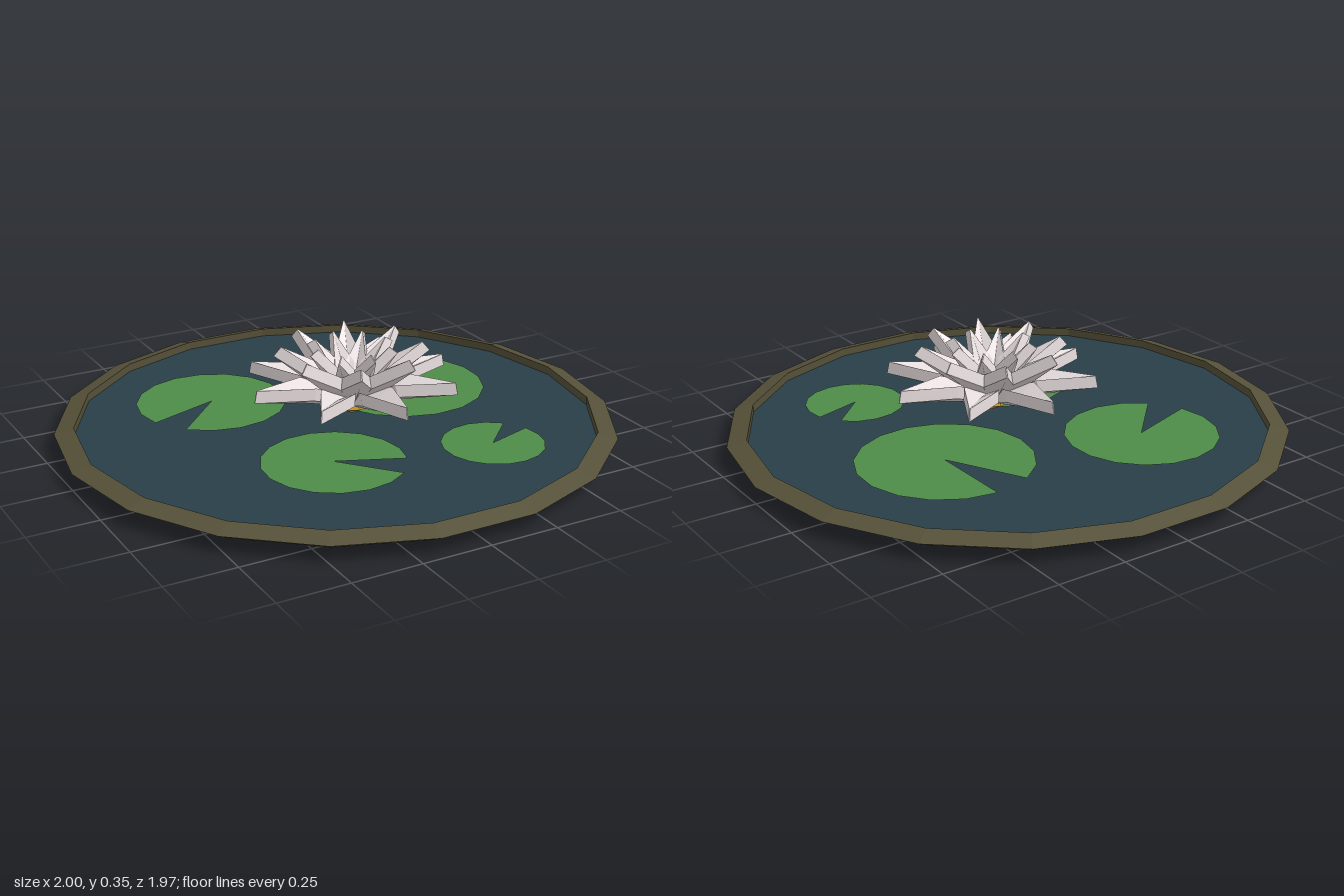
import * as THREE from 'three';

const material = (name, color, side = THREE.FrontSide) => {
  const m = new THREE.MeshStandardMaterial({ color, side });
  m.name = name;
  return m;
};

// Give a geometry hard facets
function faceted(geometry) {
  const g = geometry.index ? geometry.toNonIndexed() : geometry;
  g.computeVertexNormals();
  return g;
}

const lathe = (points, sides) =>
  faceted(new THREE.LatheGeometry(points.map(([r, y]) => new THREE.Vector2(r, y)), sides).rotateY(Math.PI / 2));

// Thick petal along +x with a V-shaped section; rows are [radius, y, halfWidth, cup]
function petalGeometry(rows, thickness) {
  const positions = [], index = [];
  const quad = (a, b, c, d) => index.push(a, b, c, a, c, d);
  rows.forEach(([r, y, w, cup], i) => {
    const p = rows[Math.max(i - 1, 0)], q = rows[Math.min(i + 1, rows.length - 1)];
    const tilt = Math.atan2(q[1] - p[1], q[0] - p[0]);
    const nx = -Math.sin(tilt), ny = Math.cos(tilt);
    for (const [side, h] of [[-1, 1], [0, 1], [1, 1], [1, 0], [0, 0], [-1, 0]]) {
      const lift = h * thickness + Math.abs(side) * cup;
      positions.push(r + nx * lift, y + ny * lift, side * w);
    }
    if (i === 0) return;
    const a = (i - 1) * 6, b = i * 6;
    for (let j = 0; j < 6; j++) {
      const k = (j + 1) % 6;
      quad(a + j, a + k, b + k, b + j);
    }
  });
  // End caps
  const e = (rows.length - 1) * 6;
  quad(e, e + 1, e + 4, e + 5);
  quad(e + 1, e + 2, e + 3, e + 4);
  quad(5, 4, 1, 0);
  quad(4, 3, 2, 1);
  const g = new THREE.BufferGeometry();
  g.setAttribute('position', new THREE.Float32BufferAttribute(positions, 3));
  g.setIndex(index);
  return faceted(g);
}

export function createModel() {
  const model = new THREE.Group();
  model.name = 'lilyPond';
  const bank = material('bank brown', 0x555038);
  const waterBlue = material('water blue', 0x293f49);
  const leaf = material('pad green', 0x4f8c48, THREE.DoubleSide);
  const white = material('petal white', 0xe9dfe0);
  const gold = material('heart gold', 0xd9a42a);

  const add = (parent, name, geometry, mat) => {
    const mesh = new THREE.Mesh(geometry, mat);
    mesh.name = name;
    parent.add(mesh);
    return mesh;
  };

  // Pond basin: sloping bank around the water
  add(model, 'bank', lathe([[0.89, 0], [1, 0.06], [0.93, 0.08], [0.93, 0.045]], 18), bank);
  add(model, 'water', lathe([[0, 0], [0.89, 0], [0.93, 0.05], [0, 0.05]], 18), waterBlue);

  // Notched lily pads: x, z, radius, end of the notch in degrees
  const pads = new THREE.Group();
  pads.name = 'lilyPads';
  model.add(pads);
  const rad = THREE.MathUtils.degToRad;
  for (const [x, z, r, start] of [
    [-0.325, -0.36, 0.275, 226],
    [0.37, -0.165, 0.312, 118],
    [-0.188, 0.325, 0.252, -23],
    [0.37, 0.455, 0.182, 44],
  ]) {
    const disc = new THREE.CircleGeometry(r, 16, rad(start), rad(333)).rotateX(-Math.PI / 2);
    add(pads, 'lilyPad', disc, leaf).position.set(x, 0.058, z);
  }

  // Flower: three tiers of petals around a golden heart
  const flower = new THREE.Group();
  flower.name = 'flower';
  flower.position.set(0.035, 0, 0.052);
  model.add(flower);
  add(flower, 'heart', lathe([[0, 0.09], [0.06, 0.122], [0.055, 0.15], [0, 0.165]], 8), gold);

  const tiers = [
    ['outerPetal', 0, 0.045, [[0.035, 0.125, 0.02, 0.008], [0.19, 0.165, 0.062, 0.03], [0.383, 0.202, 0.002, 0]]],
    ['middlePetal', 22.5, 0.042, [[0.035, 0.13, 0.018, 0.008], [0.145, 0.21, 0.052, 0.026], [0.276, 0.318, 0.002, 0]]],
    ['innerPetal', 0, 0.036, [[0.045, 0.135, 0.015, 0.006], [0.1, 0.235, 0.038, 0.018], [0.165, 0.335, 0.002, 0]]],
  ];
  for (const [name, offset, thickness, rows] of tiers) {
    const geometry = petalGeometry(rows, thickness);
    for (let i = 0; i < 8; i++) {
      add(flower, name, geometry, white).rotation.y = rad(offset + i * 45);
    }
  }
  return model;
}
